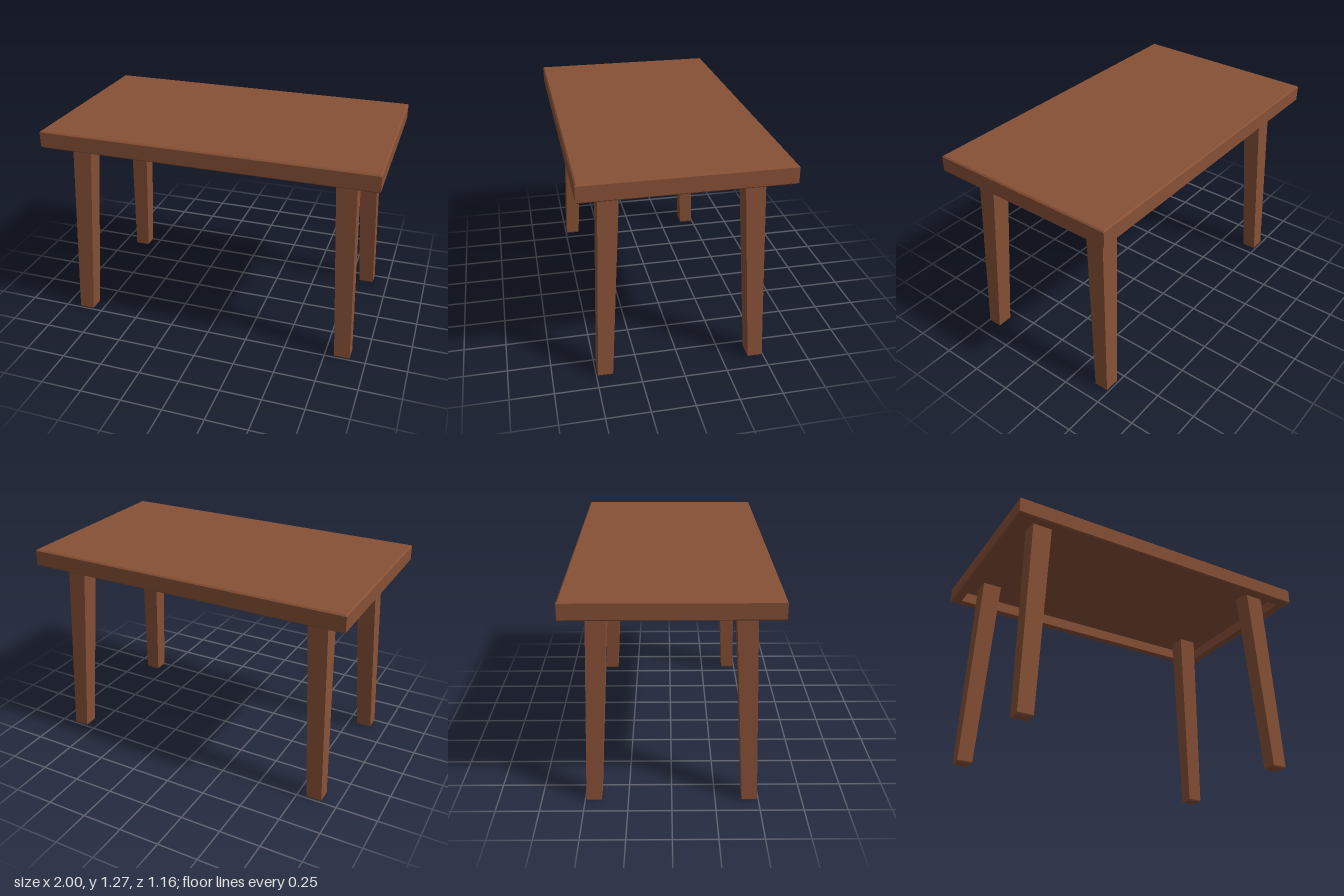
import * as THREE from 'three';

// Solid from rectangular rings [x0, x1, z0, z1, y], followed along its skin from the top cap to the last cap
function loftRings(rings) {
  const pos = [];
  const loops = rings.map(([x0, x1, z0, z1, y]) => [[x0, y, z1], [x1, y, z1], [x1, y, z0], [x0, y, z0]]);
  const quad = (a, b, c, d) => pos.push(...a, ...b, ...c, ...a, ...c, ...d);
  quad(...loops[0]);
  for (let i = 0; i < loops.length - 1; i++) {
    const a = loops[i], b = loops[i + 1];
    for (let k = 0; k < 4; k++) {
      const n = (k + 1) % 4;
      quad(a[k], b[k], b[n], a[n]);
    }
  }
  quad(...loops[loops.length - 1].slice().reverse());
  const geo = new THREE.BufferGeometry();
  geo.setAttribute('position', new THREE.Float32BufferAttribute(pos, 3));
  geo.computeVertexNormals();
  return geo;
}

export function createModel() {
  const model = new THREE.Group();
  model.name = 'table';
  const wood = new THREE.MeshStandardMaterial({ color: 0x875036 });
  wood.name = 'brown wood';

  // Tabletop: bevelled slab with a recessed underside, as [inset, height]
  const topProfile = [
    [0.008, 1.27], [0, 1.262], [0, 1.173], [0.008, 1.165],
    [0.06, 1.165], [0.06, 1.235],
  ];
  const tabletop = new THREE.Mesh(loftRings(topProfile.map(([inset, y]) =>
    [inset - 1, 1 - inset, inset - 0.582, 0.582 - inset, y])), wood);
  tabletop.name = 'tabletop';
  model.add(tabletop);

  // Splayed legs, tapering to bevelled feet: [inner x, outer x, inner z, outer z, y]
  const legProfile = [
    [0.737, 0.857, 0.336, 0.452, 1.24],
    [0.809, 0.904, 0.404, 0.492, 0.008],
    [0.814, 0.899, 0.409, 0.487, 0],
  ];
  for (const sx of [-1, 1]) {
    for (const sz of [-1, 1]) {
      const rings = legProfile.map(([xi, xo, zi, zo, y]) => [
        ...(sx > 0 ? [xi, xo] : [-xo, -xi]),
        ...(sz > 0 ? [zi, zo] : [-zo, -zi]), y,
      ]);
      const leg = new THREE.Mesh(loftRings(rings), wood);
      leg.name = (sz > 0 ? 'front' : 'back') + (sx > 0 ? 'Left' : 'Right') + 'Leg';
      model.add(leg);
    }
  }
  return model;
}
